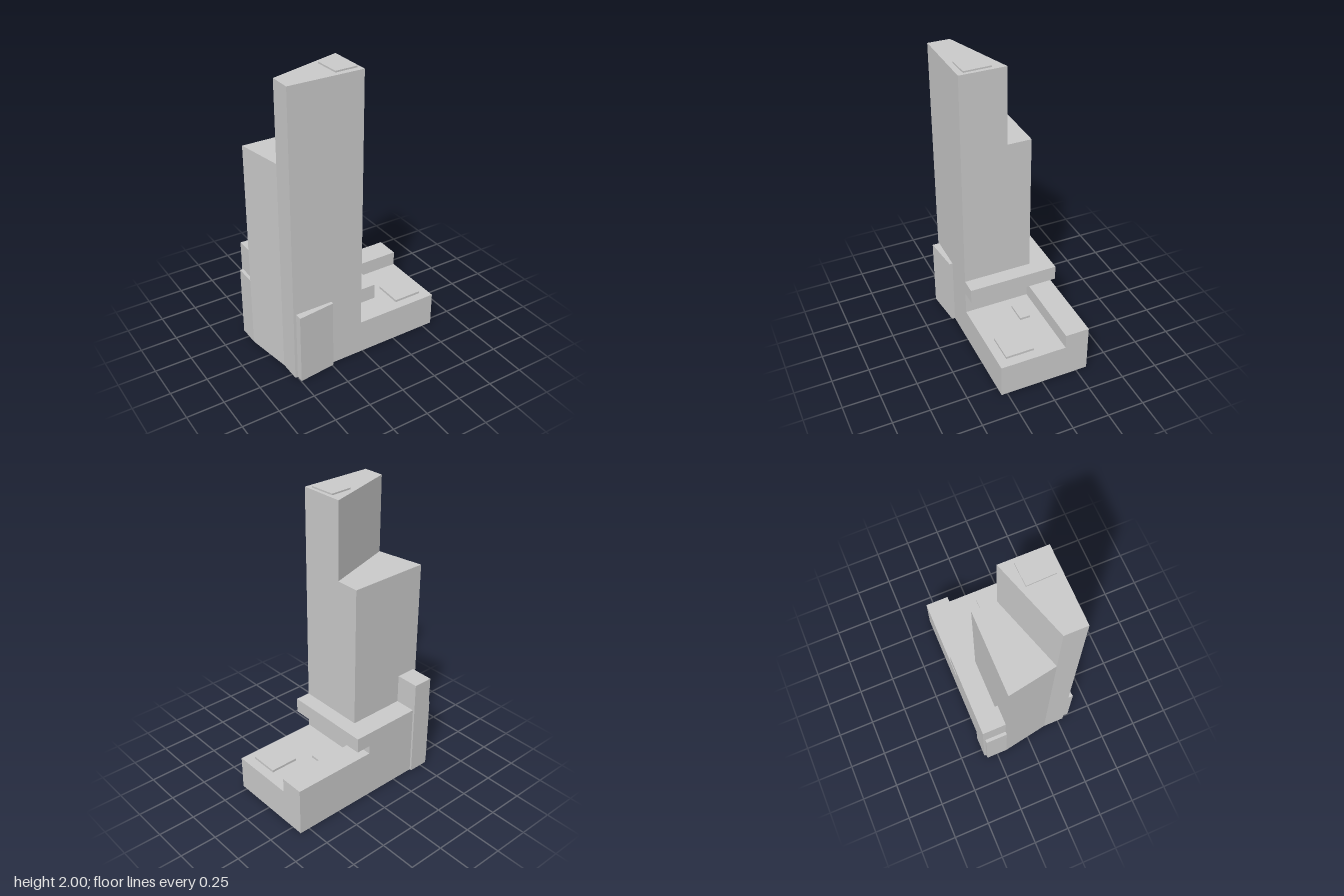
import * as THREE from 'three';

const material = new THREE.MeshStandardMaterial({ color: 0xcccccc, flatShading: true });

// Upright block: plan is a list of [x, z] corners, raised from y0 to y1.
function block(name, plan, y0, y1) {
  const shape = new THREE.Shape(plan.map(([x, z]) => new THREE.Vector2(x, -z)));
  const geometry = new THREE.ExtrudeGeometry(shape, { depth: y1 - y0, bevelEnabled: false });
  geometry.rotateX(-Math.PI / 2).translate(0, y0, 0);
  const mesh = new THREE.Mesh(geometry, material);
  mesh.name = name;
  return mesh;
}

const rect = (x0, x1, z0, z1) => [[x0, z1], [x1, z1], [x1, z0], [x0, z0]];

export function createModel() {
  const model = new THREE.Group();
  model.name = 'towerBuilding';

  const front = 0.29, back = -0.327, step = -0.18, side = -0.015;

  model.add(
    // Two interlocking tower volumes that meet along a diagonal
    block('tallTower', [[-0.515, front], [side, front], [side, -0.017], [-0.515, 0.143]], 0, 1.99),
    block('lowerTower', [[-0.515, 0.143], [side, -0.017], [side, step], [-0.57, step]], 0, 1.47),
    block('towerRoofUnit', [[-0.185, 0.255], [-0.037, 0.25], [-0.042, 0.07], [-0.19, 0.075]], 1.99, 2.0),

    // Rear wing and its stair tower
    block('rearWing', rect(-0.57, side, back, step), 0, 0.5),
    block('stairTower', rect(-0.548, -0.41, -0.341, step), 0, 0.7),

    // Low podium with a raised rear strip
    block('podium', rect(side, 0.57, back, front), 0, 0.237),
    block('podiumRearStrip', rect(side, 0.57, back, -0.163), 0.237, 0.337),
    block('podiumRoofUnitSmall', rect(0.07, 0.21, -0.083, -0.01), 0.237, 0.253),
    block('podiumRoofUnitLarge', rect(0.31, 0.505, 0.033, 0.228), 0.237, 0.253),

    // Slab cantilevered over the podium
    block('cantileverSlab', rect(side, 0.088, back, front), 0.397, 0.5),

    // Slanted panel on the front face
    block('frontPanel', [[-0.497, 0.339], [-0.242, 0.311], [-0.242, front], [-0.497, front]], 0, 0.492),
  );
  return model;
}
